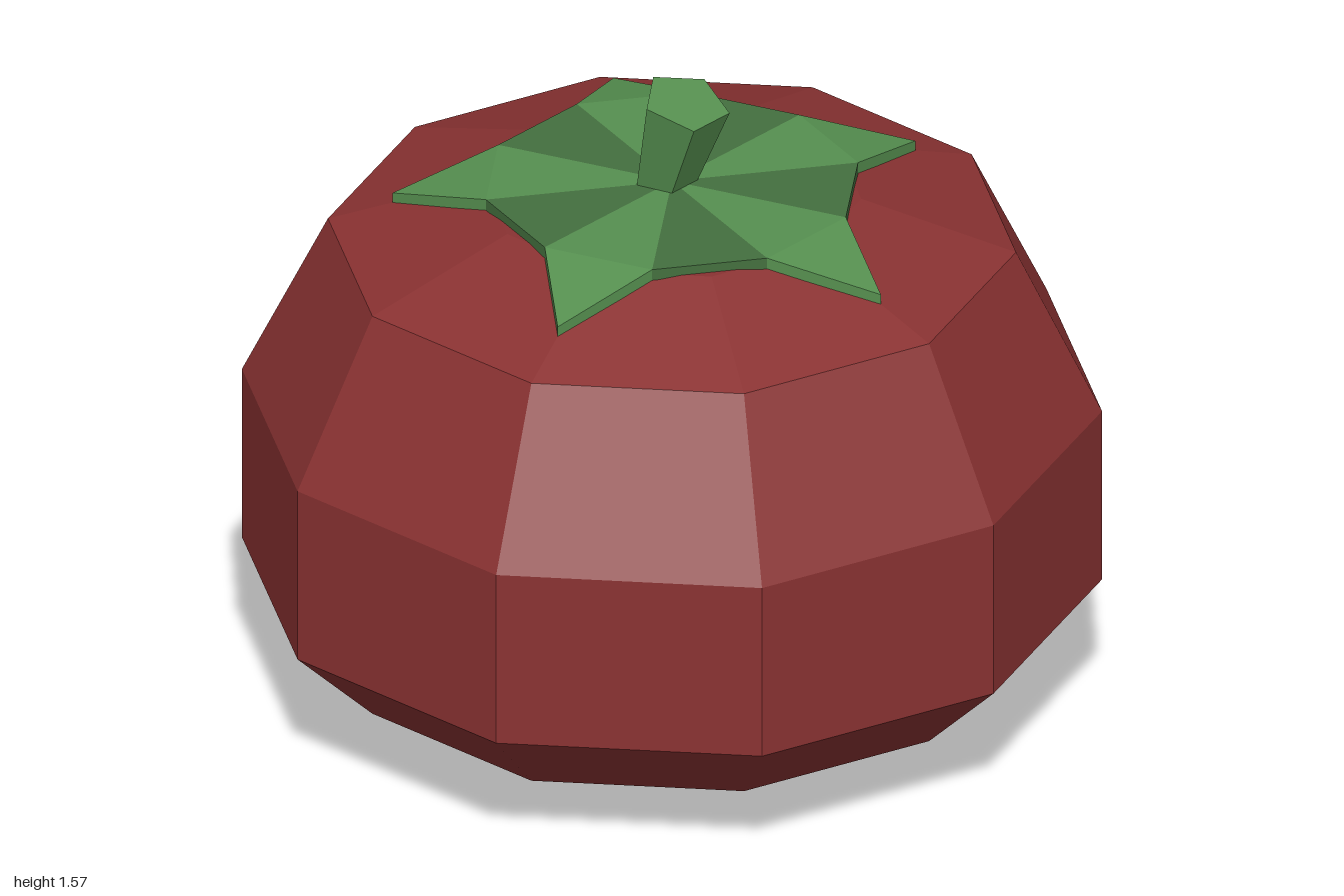
import * as THREE from 'three';

const flat = (color) => new THREE.MeshStandardMaterial({ color, flatShading: true });
const polar = (r, angle, y) => [r * Math.sin(angle), y, r * Math.cos(angle)];

// Geometry from triangles of corner points
function fromTriangles(tris) {
  const g = new THREE.BufferGeometry();
  g.setAttribute('position', new THREE.Float32BufferAttribute(tris.flat(2), 3));
  g.computeVertexNormals();
  return g;
}

// Thin slab: top triangles, a matching underside and walls along the outer path
function slab(topTris, outerPath, drop) {
  const lower = ([x, y, z]) => [x, y - drop, z];
  const tris = [...topTris];
  for (const [a, b, c] of topTris) tris.push([lower(a), lower(c), lower(b)]);
  for (let i = 0; i < outerPath.length - 1; i++) {
    const p = outerPath[i], q = outerPath[i + 1];
    tris.push([lower(p), lower(q), q], [lower(p), q, p]);
  }
  return fromTriangles(tris);
}

export function createModel() {
  const model = new THREE.Group();
  const red = flat(0x8a3232);
  const green = flat(0x569050);
  const darkGreen = flat(0x44703f);
  const add = (name, geometry, material, parent = model) => {
    const mesh = new THREE.Mesh(geometry, material);
    mesh.name = name;
    parent.add(mesh);
    return mesh;
  };

  // Ten-sided squat fruit
  const profile = [
    [0, 0], [0.45, 0], [0.8, 0.14], [1, 0.335],
    [1, 0.775], [0.8, 1.18], [0.44, 1.3], [0, 1.3],
  ].map(([r, y]) => new THREE.Vector2(r, y));
  add('fruitBody', new THREE.LatheGeometry(profile, 10), red);

  // Five-pointed leaf crown: drooping sepals joined by darker webs
  const crown = new THREE.Group();
  crown.name = 'leafCrown';
  model.add(crown);
  const step = Math.PI / 5, ringY = 1.322, centre = [0, ringY, 0];
  for (let i = 0; i < 10; i++) {
    const angle = i * step;
    const a = polar(0.44, angle - step / 2, ringY);
    const b = polar(0.44, angle + step / 2, ringY);
    if (i % 2 === 0) {
      const tip = polar(0.65, angle, 1.255);
      add('sepal', slab([[centre, a, b], [a, tip, b]], [a, tip, b], 0.028), green, crown);
    } else {
      add('sepalWeb', slab([[centre, a, b]], [a, b], 0.028), darkGreen, crown);
    }
  }

  // Five-sided stem, flaring upward and leaning forward
  const stemGeometry = new THREE.CylinderGeometry(0.105, 0.068, 0.27, 5, 1, false, Math.PI);
  stemGeometry.translate(0, 0.135, 0);
  const stem = add('stem', stemGeometry, green);
  stem.position.set(0, 1.285, -0.035);
  stem.rotation.x = 0.29;

  return model;
}
